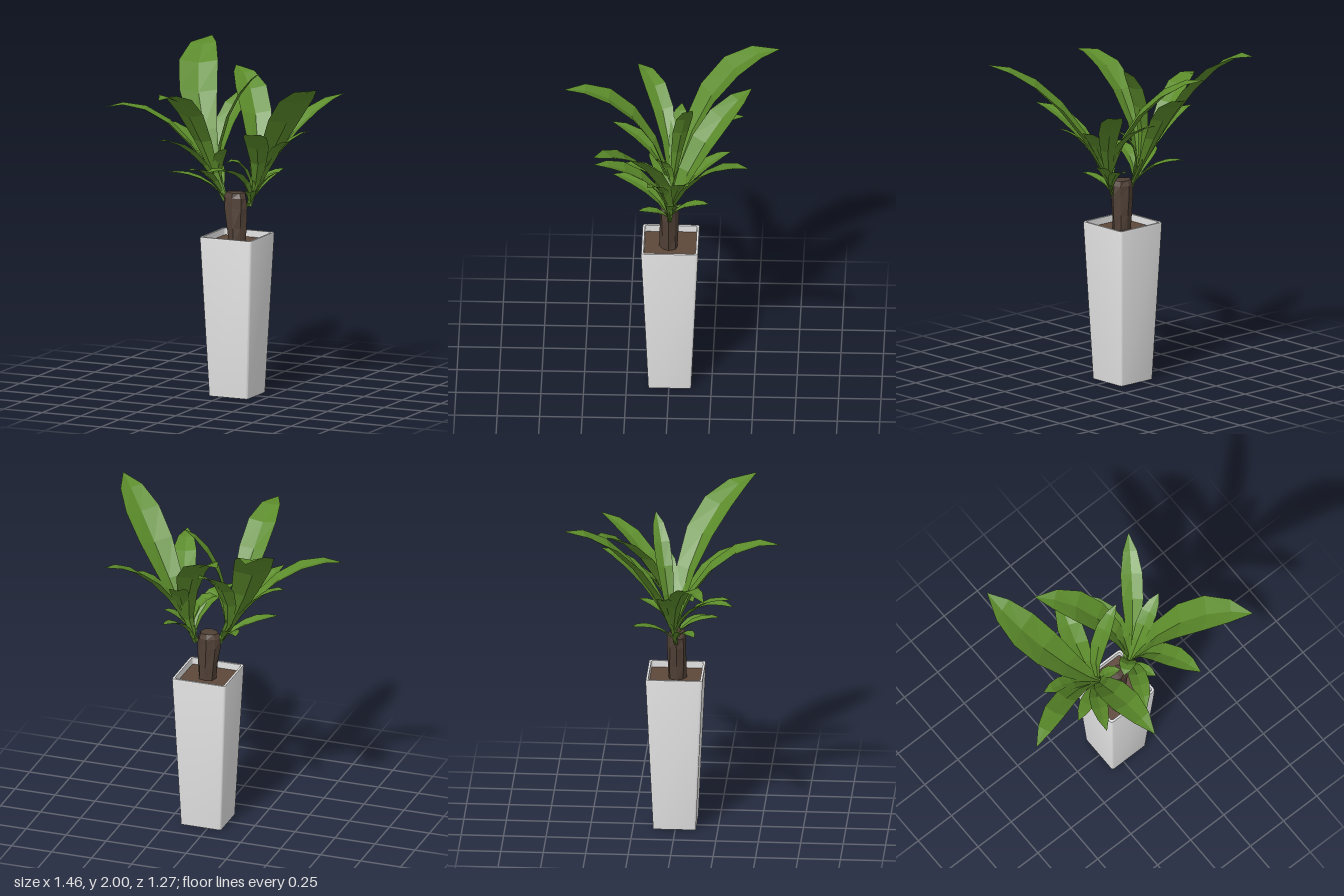
import * as THREE from 'three';
import { toCreasedNormals } from 'three/addons/utils/BufferGeometryUtils.js';

const CX = 0.042, CZ = -0.005; // planter axis

const mat = (name, color, opts = {}) => new THREE.MeshStandardMaterial({ name, color, ...opts });

// Skin a list of equal-length closed rings, listed anticlockwise from above, bottom to top
function loft(rings) {
  const n = rings[0].length, index = [];
  for (let r = 0; r < rings.length - 1; r++) {
    for (let i = 0; i < n; i++) {
      const j = (i + 1) % n, a = r * n + i, b = r * n + j;
      index.push(a, b, b + n, a, b + n, a + n);
    }
  }
  const g = new THREE.BufferGeometry();
  g.setAttribute('position', new THREE.Float32BufferAttribute(rings.flat(2), 3));
  g.setIndex(index);
  return g;
}

// Square ring with rounded corners
function squareRing(y, half, radius) {
  const pts = [];
  for (let c = 0; c < 4; c++) {
    const mid = Math.PI / 4 + c * Math.PI / 2;
    for (let k = 0; k < 4; k++) {
      const a = c * Math.PI / 2 + (k / 3) * Math.PI / 2;
      const o = (half - radius) * Math.SQRT2;
      pts.push([CX + Math.cos(mid) * o + Math.cos(a) * radius, y,
        CZ - Math.sin(mid) * o - Math.sin(a) * radius]);
    }
  }
  return pts;
}

// Uneven trunk ring
function trunkRing([y, x, rx, rz], level) {
  return Array.from({ length: 8 }, (_, i) => {
    const a = (i / 8) * Math.PI * 2, k = 1 + 0.07 * Math.sin(i * 2.4 + level * 1.3);
    return [x + Math.cos(a) * rx * k, y, 0.003 - Math.sin(a) * rz * k];
  });
}

// Arched leaf: leaves the trunk along the crown's lean, then curves out to its tip.
// Folded along the midrib, more so near the stalk.
const WIDTHS = [[0, 0.14], [0.2, 0.32], [0.4, 0.68], [0.58, 0.97], [0.74, 1], [0.88, 0.66], [1, 0]];
function leafGeometry(root, lean, tip, width, arch, bend) {
  const rise = tip.y - root.y;
  const p1 = root.clone().addScaledVector(lean, Math.min(1, rise / 0.5));
  const span = tip.clone().sub(p1);
  const side = new THREE.Vector3(-span.z, 0, span.x).normalize();
  const p2 = p1.clone().addScaledVector(span, 0.45).addScaledVector(side, bend);
  p2.y = root.y + rise * arch;
  const curve = new THREE.CubicBezierCurve3(root, p1, p2, tip);
  const pos = [], index = [];
  WIDTHS.forEach(([t, w], r) => {
    const p = curve.getPoint(t);
    const up = side.clone().cross(curve.getTangent(t)).normalize();
    for (const s of [-1, 0, 1]) {
      const half = s * w * width / 2;
      const v = p.clone().addScaledVector(side, half).addScaledVector(up, Math.abs(half) * (0.5 - 0.35 * t));
      pos.push(v.x, v.y, v.z);
    }
    if (r) {
      for (const c of [0, 1]) {
        const b = r * 3 + c, a = b - 3;
        index.push(a, a + 1, b + 1, a, b + 1, b);
      }
    }
  });
  const g = new THREE.BufferGeometry();
  g.setAttribute('position', new THREE.Float32BufferAttribute(pos, 3));
  g.setIndex(index);
  const flat = g.toNonIndexed();
  flat.computeVertexNormals();
  return flat;
}

// Each leaf: tip x, y, z, width, arch, sideways bend
const CROWNS = {
  leftward: {
    root: [-0.03, 1.15, 0], lean: [-0.14, 0.22, -0.03],
    leaves: [
      [-0.42, 2.0, -0.64, 0.23, 0.98, -0.16], [-0.17, 1.85, 0.63, 0.17, 1.1], [-0.73, 1.69, 0.21, 0.13, 1.18, 0.03],
      [0.15, 1.92, -0.13, 0.1, 0.85], [-0.46, 1.59, -0.06, 0.1, 0.95], [-0.31, 1.55, 0.35, 0.1, 0.95],
      [-0.05, 1.76, -0.44, 0.15, 0.92], [-0.35, 1.32, 0.13, 0.09, 1], [-0.22, 1.33, -0.25, 0.09, 0.95],
      [0.01, 1.48, 0.08, 0.08, 0.9], [-0.14, 1.37, 0.27, 0.09, 1],
    ],
  },
  rightward: {
    root: [0.12, 1.13, 0], lean: [0.09, 0.22, -0.02],
    leaves: [
      [0.73, 1.95, 0.43, 0.22, 0.92, -0.08], [-0.19, 1.87, -0.48, 0.19, 0.97, 0.05], [0.52, 1.76, -0.48, 0.13, 0.92],
      [0.46, 1.59, -0.12, 0.1, 0.92], [0.33, 1.65, 0.44, 0.14, 0.95], [0, 1.38, 0.34, 0.11, 1.15],
      [0.11, 1.62, -0.37, 0.11, 0.92], [0.45, 1.57, 0.12, 0.09, 0.92], [0.3, 1.34, -0.06, 0.08, 0.95],
      [0.24, 1.33, -0.24, 0.08, 0.95], [0.2, 1.25, 0.18, 0.07, 1], [0.02, 1.4, 0.1, 0.1, 1.2],
    ],
  },
};

export function createModel() {
  const model = new THREE.Group();
  model.name = 'pottedPlant';
  const white = mat('potWhite', 0xdfdfdf);
  const brown = mat('soilBrown', 0x5e483a);
  const bark = mat('barkBrown', 0x504036, { flatShading: true });
  const green = mat('leafGreen', 0x5c8c2b, { side: THREE.DoubleSide });
  const add = (name, geometry, material, parent = model) => {
    const mesh = new THREE.Mesh(geometry, material);
    mesh.name = name;
    parent.add(mesh);
    return mesh;
  };

  // Tall tapered planter with a thin rim
  add('planter', toCreasedNormals(loft([
    squareRing(0, 0.126, 0.012), squareRing(0.945, 0.168, 0.016), squareRing(0.955, 0.166, 0.016),
    squareRing(0.955, 0.153, 0.012), squareRing(0.9, 0.15, 0.012),
  ]), 0.7), white);

  // Soil surface and planter underside
  const soil = add('soil', new THREE.PlaneGeometry(0.302, 0.302), brown);
  soil.rotation.x = -Math.PI / 2;
  soil.position.set(CX, 0.915, CZ);
  const base = add('planterBase', new THREE.PlaneGeometry(0.25, 0.25), brown);
  base.rotation.x = Math.PI / 2;
  base.position.set(CX, 0.001, CZ);

  // Knobbly trunk: height, centre x, radii
  const trunk = [
    [0.9, 0.047, 0.053, 0.054], [1.0, 0.043, 0.06, 0.055], [1.12, 0.037, 0.072, 0.056],
    [1.18, 0.035, 0.072, 0.055], [1.21, 0.037, 0.055, 0.045], [1.216, 0.037, 0.001, 0.001],
  ];
  add('trunk', loft(trunk.map(trunkRing)), bark);

  // Two outward-leaning crowns of arching leaves
  for (const [name, { root, lean, leaves }] of Object.entries(CROWNS)) {
    const crown = new THREE.Group();
    crown.name = `${name}Crown`;
    model.add(crown);
    leaves.forEach(([x, y, z, width, arch, bend = 0], i) => {
      const geometry = leafGeometry(new THREE.Vector3(...root), new THREE.Vector3(...lean),
        new THREE.Vector3(x, y, z), width, arch, bend);
      add(`leaf${i + 1}`, geometry, green, crown);
    });
  }
  return model;
}
